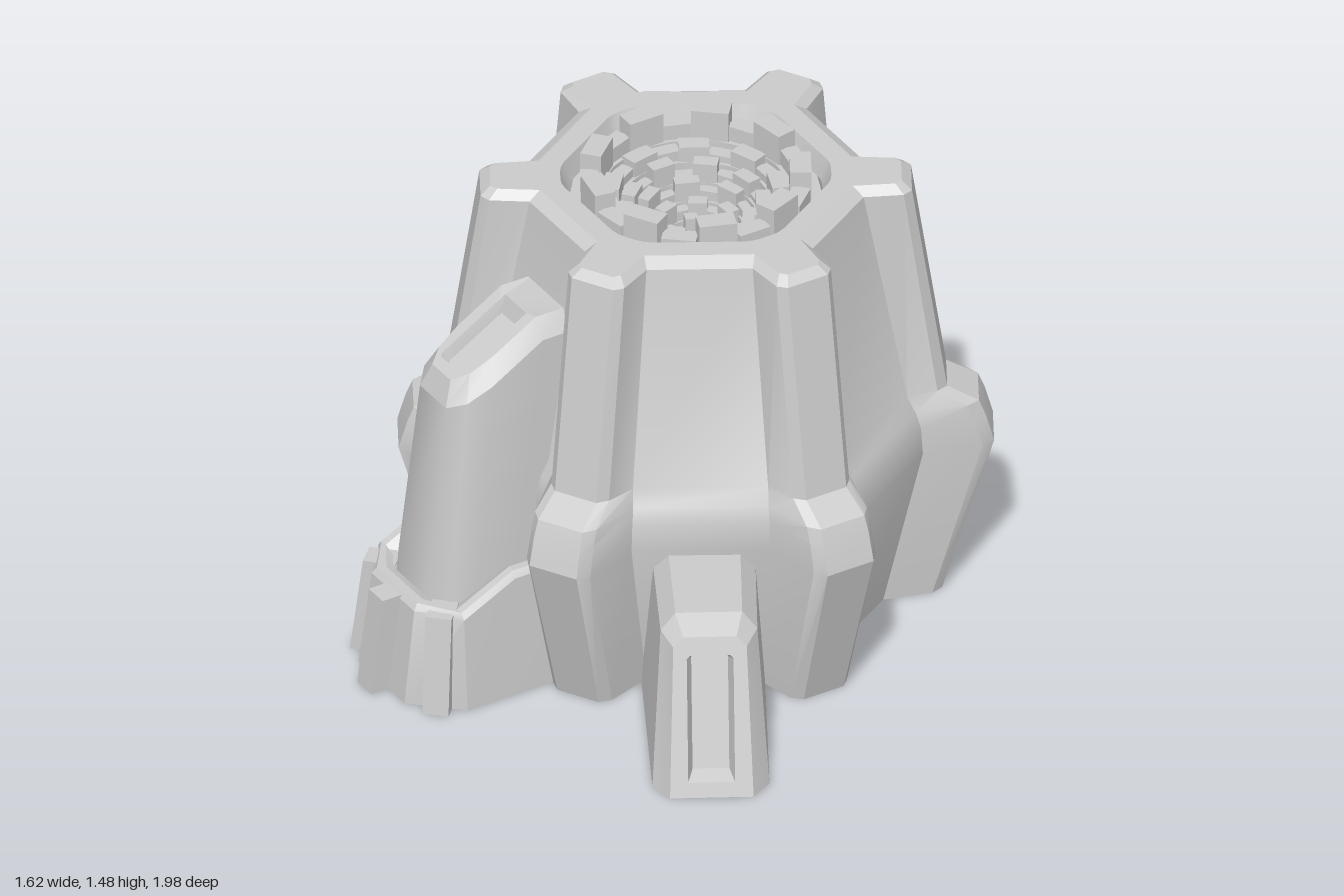
import * as THREE from 'three';
import { toCreasedNormals } from 'three/addons/utils/BufferGeometryUtils.js';

// Open shells, so both sides show
const grey = new THREE.MeshStandardMaterial({ color: 0xcccccc, side: THREE.DoubleSide });

function add(parent, name, geometry) {
  const mesh = new THREE.Mesh(geometry, grey);
  mesh.name = name;
  parent.add(mesh);
  return mesh;
}

// Skin loops of [x, y, z]; loops run anticlockwise seen from the last one
function loft(loops, { cap = false, open = false, crease = 0.4 } = {}) {
  const pos = [];
  const tri = (a, b, c) => pos.push(...a, ...b, ...c);
  const n = loops[0].length;
  for (let i = 0; i < loops.length - 1; i++) {
    for (let j = 0; j < (open ? n - 1 : n); j++) {
      const k = (j + 1) % n;
      const [a, b, c, d] = [loops[i][j], loops[i][k], loops[i + 1][k], loops[i + 1][j]];
      tri(a, b, c);
      tri(a, c, d);
    }
  }
  const last = loops[loops.length - 1];
  if (cap) for (let j = 1; j < n - 1; j++) tri(last[0], last[j], last[j + 1]);
  const g = new THREE.BufferGeometry();
  g.setAttribute('position', new THREE.Float32BufferAttribute(pos, 3));
  return toCreasedNormals(g, crease);
}

// Complete a half outline (one side, in order) with its mirror image
const mirrored = (half) => [...half, ...half.map(([u, y, v]) => [-u, y, v]).reverse()];

// Six-sided hull section: wall distance a, rib reach r, rib half widths
function hullLoop([y, a, r, outer, mid, base, bevel]) {
  const loop = [];
  const v0 = a / Math.cos(Math.PI / 6) - base * Math.tan(Math.PI / 6);
  const rib = mirrored([[-base, y, v0], [-mid, y, r - bevel], [-outer, y, r]]);
  for (let i = 0; i < 6; i++) {
    const t = (i * Math.PI) / 3, s = Math.sin(t), c = Math.cos(t);
    for (const [u, , v] of rib) loop.push([u * c + v * s, y, v * c - u * s]);
  }
  return loop;
}

function seeded(seed) {
  return () => (seed = (seed * 16807) % 2147483647) / 2147483647;
}

// Stepped bowl lined with rings of uneven blocks
function makeBowl() {
  const bowl = new THREE.Group();
  bowl.name = 'bowl';
  const radii = [0.345, 0.28, 0.225, 0.18, 0.14, 0.1, 0.065];
  const floorY = (i) => 1.38 - 0.042 * i;
  const profile = [new THREE.Vector2(0.375, floorY(0))];
  for (let i = 1; i < radii.length; i++) {
    profile.push(new THREE.Vector2(radii[i], floorY(i - 1)), new THREE.Vector2(radii[i], floorY(i)));
  }
  profile.push(new THREE.Vector2(0, floorY(6)));
  add(bowl, 'bowlSteps', toCreasedNormals(new THREE.LatheGeometry(profile, 24), 0.3));

  const random = seeded(77);
  for (let i = 0; i < radii.length - 1; i++) {
    const count = i < 3 ? 18 : 14;
    const depth = radii[i] - radii[i + 1];
    for (let j = 0; j < count; j++) {
      const size = random();
      const tall = j % 2 === 0;
      const bottom = floorY(i);
      const height = i === 0 ? (tall ? 0.1 : 0.05) : (tall ? 0.05 : 0.015) + 0.02 * size;
      const d = depth * (tall ? 1 : 0.85);
      const mid = radii[i] - d / 2;
      const width = (2 * Math.PI * mid / count) * (tall ? 1.05 : 0.95);
      const block = add(bowl, 'bowlBlock', new THREE.BoxGeometry(width, height, d));
      const t = ((j + 0.5 * (i % 2)) / count) * 2 * Math.PI;
      block.position.set(Math.sin(t) * mid, bottom + height / 2, Math.cos(t) * mid);
      block.rotation.y = t;
    }
  }
  // Nozzle in the middle of the bowl
  const nozzle = [[0.06, 1.128], [0.05, 1.17], [0.035, 1.17], [0.03, 1.2], [0.015, 1.2], [0.012, 1.15], [0, 1.15]];
  add(bowl, 'nozzle', toCreasedNormals(new THREE.LatheGeometry(nozzle.map((p) => new THREE.Vector2(...p)), 8), 0.3));
  return bowl;
}

// Sloped leg, open underneath, with a recessed slot in its front face
function makeLeg() {
  const leg = new THREE.Group();
  leg.name = 'frontLeg';
  const section = (w, h, cut, reach, y0 = 0) =>
    mirrored([[w[0], y0], [w[1], h - cut], [w[2], h]].map(([u, y]) => [u, y, reach(y)]));
  const face = (y) => 1.2 - 0.32 * y;
  const front = section([0.125, 0.11, 0.08], 0.475, 0.03, face);
  add(leg, 'legShell', loft([
    section([0.185, 0.155, 0.11], 0.51, 0.05, () => 0.55),
    section([0.175, 0.145, 0.1], 0.51, 0.05, (y) => 1.13 - 0.32 * y),
    front,
  ], { open: true }));
  add(leg, 'legFrontSlot', loft([
    front,
    section([0.07, 0.07, 0.06], 0.42, 0.01, face, 0.045),
    section([0.055, 0.055, 0.05], 0.4, 0.01, (y) => face(y) - 0.05, 0.06),
  ], { cap: true }));
  leg.rotation.y = 0.54;
  return leg;
}

// Tall side tower standing in a low skirt
function makeTower() {
  const tower = new THREE.Group();
  tower.name = 'sideTower';
  const roof = (v) => Math.min(1.2, 1.2 - (v - 0.62) * 0.6);
  const outline = (w, back, front, height) => mirrored(
    [[-w, back], [-w, back + 0.12], [-w, front - 0.12], [-w * 0.87, front - 0.045], [-w * 0.52, front]]
      .map(([u, v]) => [u, height(v), v]));
  const slot = (w, back, front, drop) => mirrored(
    [[-w, back], [-w, back + 0.02], [-w, front - 0.03], [-w, front - 0.01], [-w * 0.85, front]]
      .map(([u, v]) => [u, roof(v) - drop, v]));
  const shoulder = outline(0.142, 0.5, 0.92, (v) => roof(v) - 0.06);
  add(tower, 'towerBody', loft([
    outline(0.185, 0.57, 1.02, () => 0),
    outline(0.17, 0.6, 0.985, () => 0.4),
    shoulder,
  ], { open: true, crease: 0.75 }));
  add(tower, 'towerRoof', loft([
    shoulder,
    outline(0.1, 0.5, 0.89, roof),
    slot(0.06, 0.63, 0.86, 0),
    slot(0.048, 0.65, 0.84, 0.04),
  ], { cap: true }));

  // Skirt rises toward the hull
  const lip = (v) => 0.33 + 0.09 * THREE.MathUtils.clamp((0.94 - v) / 0.16, 0, 1);
  const skirt = (w, front, height) => mirrored(
    [[-w, 0.55], [-w, 0.78], [-w, 0.96], [-w * 0.5, front]].map(([u, v]) => [u, height(v), v]));
  add(tower, 'skirt', loft([
    skirt(0.265, 1.1, () => 0),
    skirt(0.245, 1.06, (v) => lip(v) - 0.02),
    skirt(0.23, 1.045, lip),
    skirt(0.205, 1.02, lip),
    skirt(0.165, 0.96, (v) => lip(v) - 0.03),
  ], { open: true }));

  // Upright buttresses around the skirt
  for (const [u, v, turn] of [[0, 1.11, 0], [-0.2, 1.02, -0.8], [0.2, 1.02, 0.8]]) {
    const g = new THREE.BoxGeometry(0.08, 0.32, 0.1);
    const p = g.attributes.position;
    for (let i = 0; i < p.count; i++) if (p.getY(i) > 0) p.setZ(i, p.getZ(i) - 0.04);
    g.computeVertexNormals();
    const buttress = add(tower, 'skirtButtress', g);
    buttress.position.set(u, 0.16, v);
    buttress.rotation.y = turn;
  }
  tower.rotation.y = -Math.PI / 6;
  return tower;
}

export function createModel() {
  const model = new THREE.Group();
  model.name = 'reactorBuilding';
  const body = new THREE.Group();
  body.name = 'body';
  body.position.set(-0.005, 0, -0.11);
  model.add(body);

  // Ribbed hull, rim and inside of the opening
  add(body, 'hull', loft([
    [0, 0.55, 0.735, 0.07, 0.1, 0.135, 0.03],
    [0.53, 0.66, 0.89, 0.08, 0.108, 0.15, 0.035],
    [0.62, 0.655, 0.865, 0.078, 0.105, 0.15, 0.035],
    [0.67, 0.64, 0.845, 0.075, 0.105, 0.145, 0.035],
    [0.72, 0.61, 0.75, 0.07, 0.098, 0.13, 0.03],
    [1.42, 0.485, 0.645, 0.07, 0.095, 0.105, 0.025],
    [1.445, 0.445, 0.615, 0.052, 0.07, 0.08, 0.02],
    [1.445, 0.375, 0.405, 0.02, 0.045, 0.07, 0.003],
    [1.38, 0.355, 0.38, 0.02, 0.045, 0.065, 0.003],
  ].map(hullLoop)));

  body.add(makeBowl(), makeLeg(), makeTower());
  return model;
}
